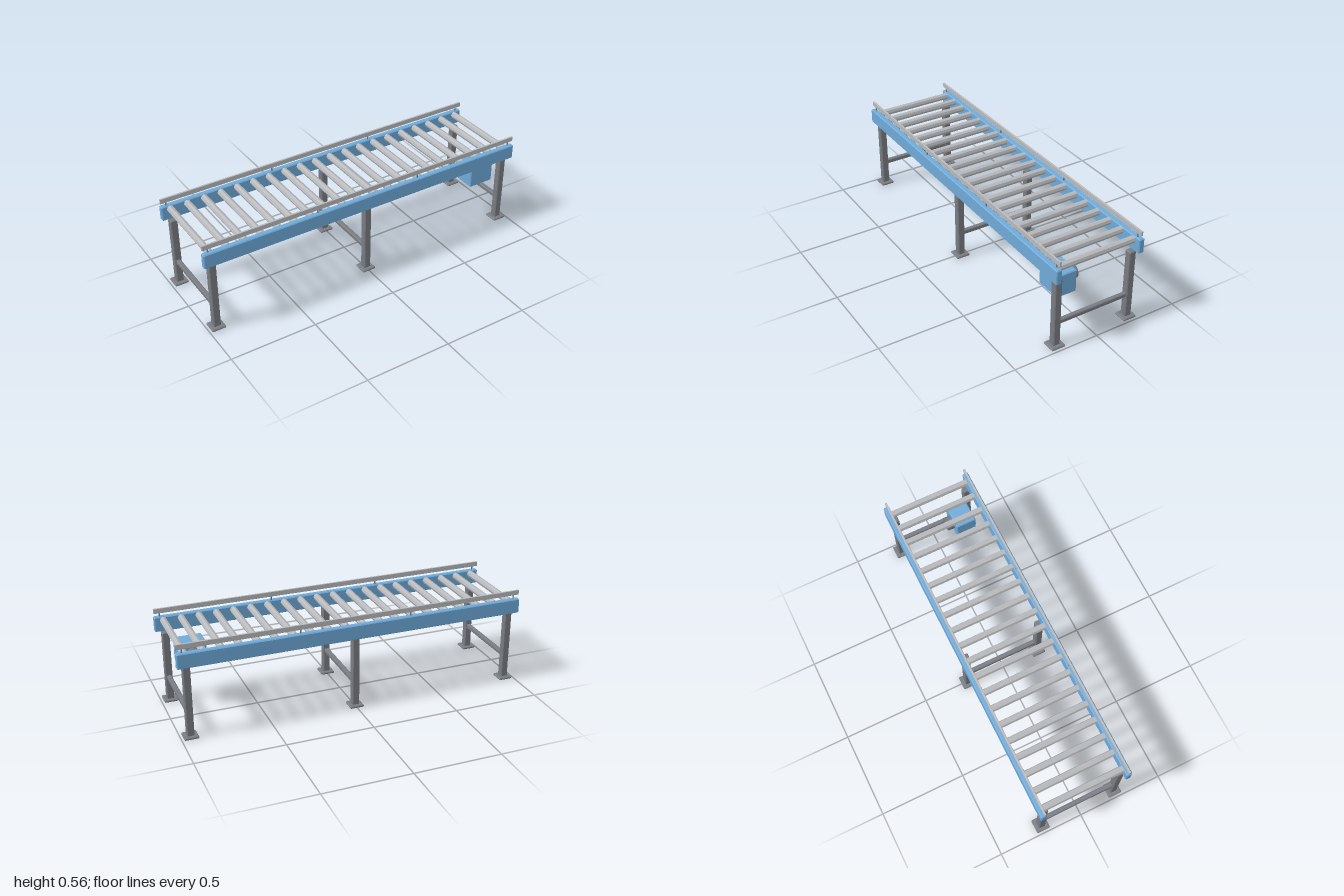
import * as THREE from 'three';
import { ConvexGeometry } from 'three/addons/geometries/ConvexGeometry.js';

const paint = (name, color, flatShading = false) => {
  const m = new THREE.MeshStandardMaterial({ color, flatShading });
  m.name = name;
  return m;
};

// Box with a flat chamfer on every edge
function chamferBox(w, h, d, c) {
  const points = [];
  for (const x of [-1, 1]) for (const y of [-1, 1]) for (const z of [-1, 1]) {
    const [a, b, e] = [x * w / 2, y * h / 2, z * d / 2];
    points.push(
      new THREE.Vector3(a, b - y * c, e - z * c),
      new THREE.Vector3(a - x * c, b, e - z * c),
      new THREE.Vector3(a - x * c, b - y * c, e)
    );
  }
  return new ConvexGeometry(points);
}

export function createModel() {
  const model = new THREE.Group();
  model.name = 'rollerConveyor';
  const blue = paint('blue paint', 0x6faad9);
  const frame = paint('frame steel', 0x787c82);
  const steel = paint('roller steel', 0xb8babd, true);

  const add = (name, geometry, material, x, y, z) => {
    const mesh = new THREE.Mesh(geometry, material);
    mesh.name = name;
    mesh.position.set(x, y, z);
    model.add(mesh);
  };

  const beamGeo = chamferBox(2, 0.086, 0.033, 0.005);
  const railGeo = chamferBox(2, 0.028, 0.011, 0.001);
  const postGeo = new THREE.CylinderGeometry(0.004, 0.004, 0.03, 8);
  const legGeo = chamferBox(0.04, 0.41, 0.04, 0.004);
  const footGeo = chamferBox(0.08, 0.013, 0.08, 0.004);
  const braceGeo = chamferBox(0.026, 0.026, 0.43, 0.004);
  const rollerGeo = new THREE.CylinderGeometry(0.02, 0.02, 0.474, 8).rotateX(Math.PI / 2);

  // Side beams with guide rails on posts
  for (const s of [1, -1]) {
    add('sideBeam', beamGeo, blue, 0, 0.464, s * 0.2515);
    add('guideRail', railGeo, steel, 0, 0.5415, s * 0.2475);
    for (const x of [-0.967, -0.322, 0.322, 0.967])
      add('railPost', postGeo, frame, x, 0.517, s * 0.2475);
  }

  // Three leg frames
  for (const x of [-0.947, 0, 0.947]) {
    for (const s of [1, -1]) {
      add('leg', legGeo, frame, x, 0.216, s * 0.2275);
      add('footPlate', footGeo, frame, x, 0.0065, s * 0.2275);
    }
    add('crossBrace', braceGeo, frame, x, 0.148, 0);
  }

  // Rollers
  for (let i = 0; i < 20; i++) add('roller', rollerGeo, steel, -0.95 + i * 0.1, 0.487, 0);

  // Drive motor with its round gearbox
  add('motorHousing', chamferBox(0.158, 0.133, 0.12, 0.005), blue, 0.833, 0.328, 0.14);
  add('motorGearbox', new THREE.CylinderGeometry(0.04, 0.04, 0.06, 24).rotateX(Math.PI / 2),
    frame, 0.833, 0.328, 0.071);

  return model;
}
